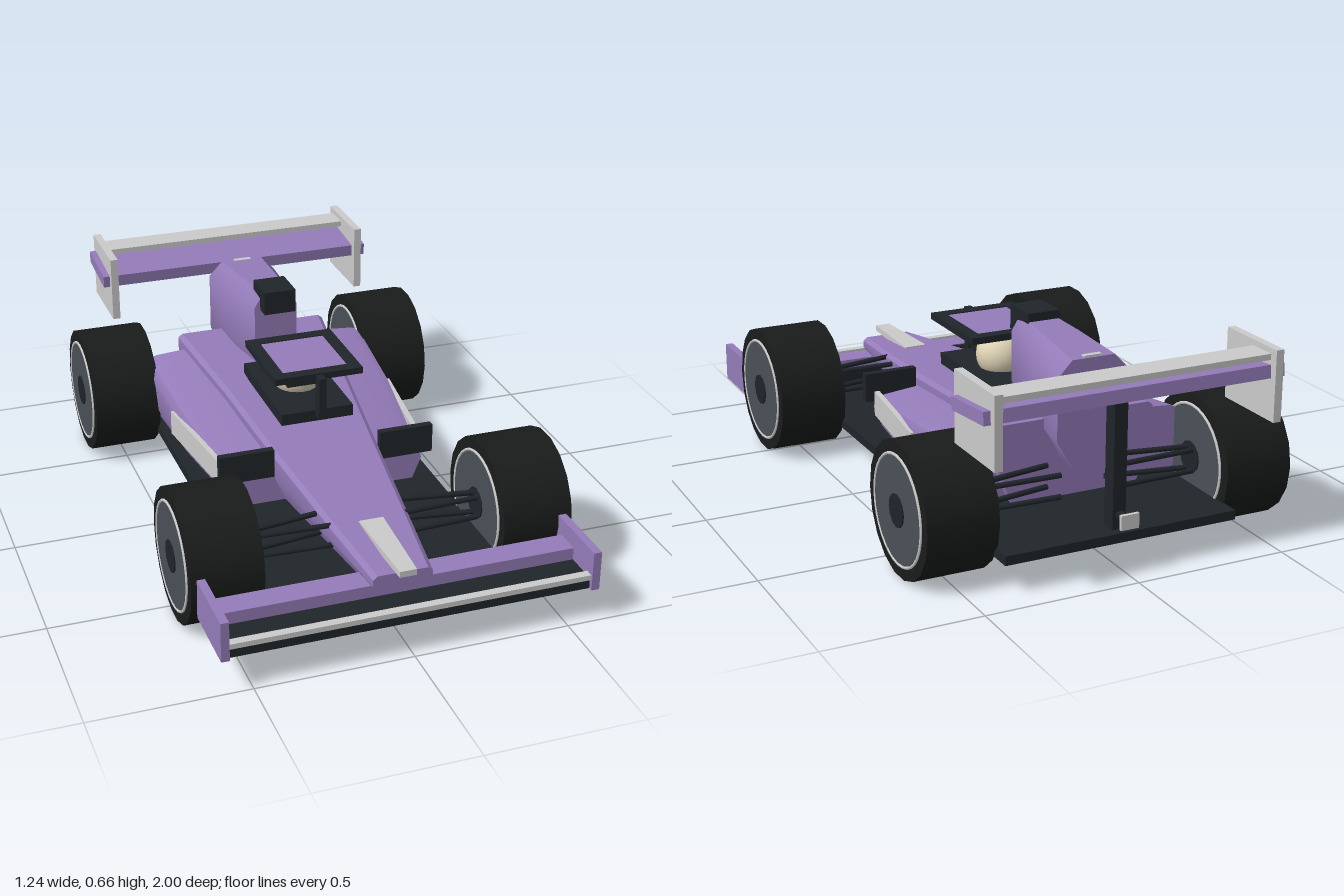
import * as THREE from 'three';
import { toCreasedNormals } from 'three/addons/utils/BufferGeometryUtils.js';

const mat = (color) => new THREE.MeshStandardMaterial({ color });
const PURPLE = mat(0x957cba), DARK = mat(0x20252a), TYRE = mat(0x1a1c1c), SILVER = mat(0xc4c1c4),
  RIM = mat(0x4a5058), CREAM = mat(0xe2d6b8);

// Closed loft: sections run from back to front, points counter-clockwise seen from +z
function loft(sections, crease = 0.5) {
  const pos = [], n = sections[0].pts.length;
  const v = (i, j) => [...sections[i].pts[j % n], sections[i].z];
  const tri = (a, b, c) => pos.push(...a, ...b, ...c);
  for (let i = 0; i < sections.length - 1; i++)
    for (let j = 0; j < n; j++) {
      tri(v(i, j), v(i, j + 1), v(i + 1, j + 1));
      tri(v(i, j), v(i + 1, j + 1), v(i + 1, j));
    }
  const last = sections.length - 1;
  for (let j = 1; j < n - 1; j++) {
    tri(v(last, 0), v(last, j), v(last, j + 1));
    tri(v(0, 0), v(0, j + 1), v(0, j));
  }
  const g = new THREE.BufferGeometry();
  g.setAttribute('position', new THREE.Float32BufferAttribute(pos, 3));
  return toCreasedNormals(g, crease);
}

// Mirrors a half outline (right-hand side, bottom to top) into a full ring
const ring = (z, half) => ({ z, pts: [...half, ...half.map(([x, y]) => [-x, y]).reverse()] });

export function createModel() {
  const car = new THREE.Group();
  car.name = 'racingCar';
  const add = (name, geo, material, parent = car) => {
    const m = new THREE.Mesh(geo, material);
    m.name = name;
    parent.add(m);
    return m;
  };
  // Box given by its limits
  const box = (name, material, x0, x1, y0, y1, z0, z1) => {
    const m = add(name, new THREE.BoxGeometry(x1 - x0, y1 - y0, z1 - z0), material);
    m.position.set((x0 + x1) / 2, (y0 + y1) / 2, (z0 + z1) / 2);
    return m;
  };
  const rod = (name, a, b, r) => {
    const p = new THREE.Vector3(...a), q = new THREE.Vector3(...b), d = q.clone().sub(p);
    const m = add(name, new THREE.CylinderGeometry(r, r, d.length(), 8), DARK);
    m.position.copy(p).add(q).multiplyScalar(0.5);
    m.quaternion.setFromUnitVectors(new THREE.Vector3(0, 1, 0), d.normalize());
  };

  // Floor and tapering main hull
  box('floor', DARK, -0.39, 0.39, 0.095, 0.125, -0.905, 0.7);
  const hull = (z, w, bottom, top) => ring(z, [[w * 0.8, bottom], [w, bottom + (top - bottom) * 0.5], [w, top - 0.012], [w - 0.015, top]]);
  add('hull', loft([
    hull(-0.6, 0.27, 0.14, 0.4), hull(-0.2, 0.22, 0.14, 0.36), hull(0.21, 0.175, 0.14, 0.305),
    hull(0.6, 0.13, 0.155, 0.262), hull(0.89, 0.095, 0.165, 0.232),
  ]), PURPLE);
  add('noseStrip', loft([
    ring(0.62, [[0.04, 0.24], [0.04, 0.264]]), ring(0.93, [[0.027, 0.24], [0.027, 0.26]]),
  ]), SILVER);

  // Sidepods with inlets and side panels
  const pod = (s, z, w, top) => {
    const pts = [[0.1, 0.14], [w - 0.03, 0.14], [w - 0.005, 0.2], [w, top - 0.04], [w - 0.012, top - 0.01], [w - 0.04, top], [0.1, top + 0.02]];
    return { z, pts: s > 0 ? pts : pts.map(([x, y]) => [-x, y]).reverse() };
  };
  for (const s of [-1, 1]) {
    const side = s > 0 ? 'left' : 'right';
    add(side + 'Sidepod', loft([
      pod(s, -0.55, 0.405, 0.355), pod(s, -0.2, 0.385, 0.315), pod(s, 0.21, 0.335, 0.255),
    ], 0.7), PURPLE);
    const inlet = box(side + 'Inlet', DARK, 0.182, 0.366, 0.238, 0.335, 0.2, 0.225);
    inlet.position.x *= s;
    const panel = box(side + 'SidePanel', SILVER, 0.355, 0.373, 0.2, 0.283, -0.25, 0.17);
    panel.position.x *= s;
    panel.rotation.y = -s * 0.12;
  }

  // Engine cover and air intake
  const cowl = (z, w, bottom, top) => ring(z, [[w * 0.5, bottom], [w, bottom + 0.1], [w, top - 0.05], [w * 0.6, top]]);
  add('engineCover', loft([cowl(-0.705, 0.12, 0.26, 0.612), cowl(-0.5, 0.1, 0.28, 0.63), cowl(-0.31, 0.075, 0.33, 0.643)], 0.8), PURPLE);
  box('airIntake', DARK, -0.055, 0.055, 0.585, 0.665, -0.385, -0.26);
  box('exhaustTrim', SILVER, -0.03, 0.03, 0.6, 0.618, -0.7, -0.682);

  // Cockpit, driver helmet and overhead guard
  box('cockpitRim', DARK, -0.123, 0.123, 0.363, 0.402, -0.29, 0.125);
  const helmet = add('helmet', new THREE.SphereGeometry(0.085, 20, 14), CREAM);
  helmet.position.set(0, 0.445, -0.088);
  box('visor', DARK, -0.065, 0.065, 0.438, 0.47, -0.04, 0.01);
  for (const s of [-1, 1]) box('guardSideBar', DARK, s * 0.13 - 0.02, s * 0.13 + 0.02, 0.518, 0.54, -0.18, 0.14);
  box('guardFrontBar', DARK, -0.15, 0.15, 0.518, 0.54, 0.1, 0.14);
  box('guardRearBar', DARK, -0.15, 0.15, 0.518, 0.54, -0.18, -0.14);
  box('guardPanel', PURPLE, -0.112, 0.112, 0.527, 0.537, -0.142, 0.102);
  box('guardPost', DARK, -0.012, 0.012, 0.39, 0.535, 0.14, 0.175);

  // Front wing
  box('frontWingPlane', DARK, -0.575, 0.575, 0.115, 0.15, 0.755, 0.985);
  box('frontWingEdge', SILVER, -0.57, 0.57, 0.148, 0.165, 0.965, 0.993);
  box('frontWingFlap', PURPLE, -0.57, 0.57, 0.15, 0.19, 0.785, 0.87);
  for (const s of [-1, 1]) box('frontEndplate', PURPLE, s * 0.583 - 0.013, s * 0.583 + 0.013, 0.115, 0.245, 0.755, 1);

  // Rear wing, pillar and light
  const plane = box('rearWingPlane', PURPLE, -0.493, 0.493, 0.553, 0.594, -0.975, -0.765);
  plane.rotation.x = 0.09;
  box('rearWingFlap', SILVER, -0.46, 0.46, 0.618, 0.637, -0.972, -0.88);
  for (const s of [-1, 1]) box('rearEndplate', SILVER, s * 0.458 - 0.013, s * 0.458 + 0.013, 0.43, 0.655, -1, -0.738);
  box('rearWingPillar', DARK, -0.022, 0.022, 0.1, 0.56, -0.875, -0.825);
  box('rearLight', SILVER, -0.03, 0.03, 0.15, 0.197, -0.942, -0.93);
  box('rearLightMount', DARK, -0.01, 0.01, 0.165, 0.182, -0.932, -0.87);

  // Wheels and suspension
  const R = 0.213;
  for (const z of [0.55, -0.65])
    for (const s of [-1, 1]) {
      const wheel = new THREE.Group();
      wheel.name = (z > 0 ? 'front' : 'rear') + (s > 0 ? 'Left' : 'Right') + 'Wheel';
      wheel.position.set(s * 0.5, R, z);
      wheel.rotation.z = Math.PI / 2;
      car.add(wheel);
      add('tyre', new THREE.CylinderGeometry(R, R, 0.228, 18), TYRE, wheel);
      add('rim', new THREE.CylinderGeometry(0.166, 0.166, 0.234, 24), RIM, wheel);
      add('hub', new THREE.CylinderGeometry(0.052, 0.052, 0.242, 12), DARK, wheel);
      for (const f of [-1, 1]) {
        const band = add('rimRing', new THREE.TorusGeometry(0.171, 0.005, 6, 32), SILVER, wheel);
        band.rotation.x = Math.PI / 2;
        band.position.y = f * 0.115;
      }
      for (const d of [-1, 1])
        for (const y of [0.18, 0.25])
          rod('suspensionArm', [s * 0.1, y, z + d * 0.045], [s * 0.4, y - 0.01, z + d * 0.015], 0.009);
    }
  return car;
}
